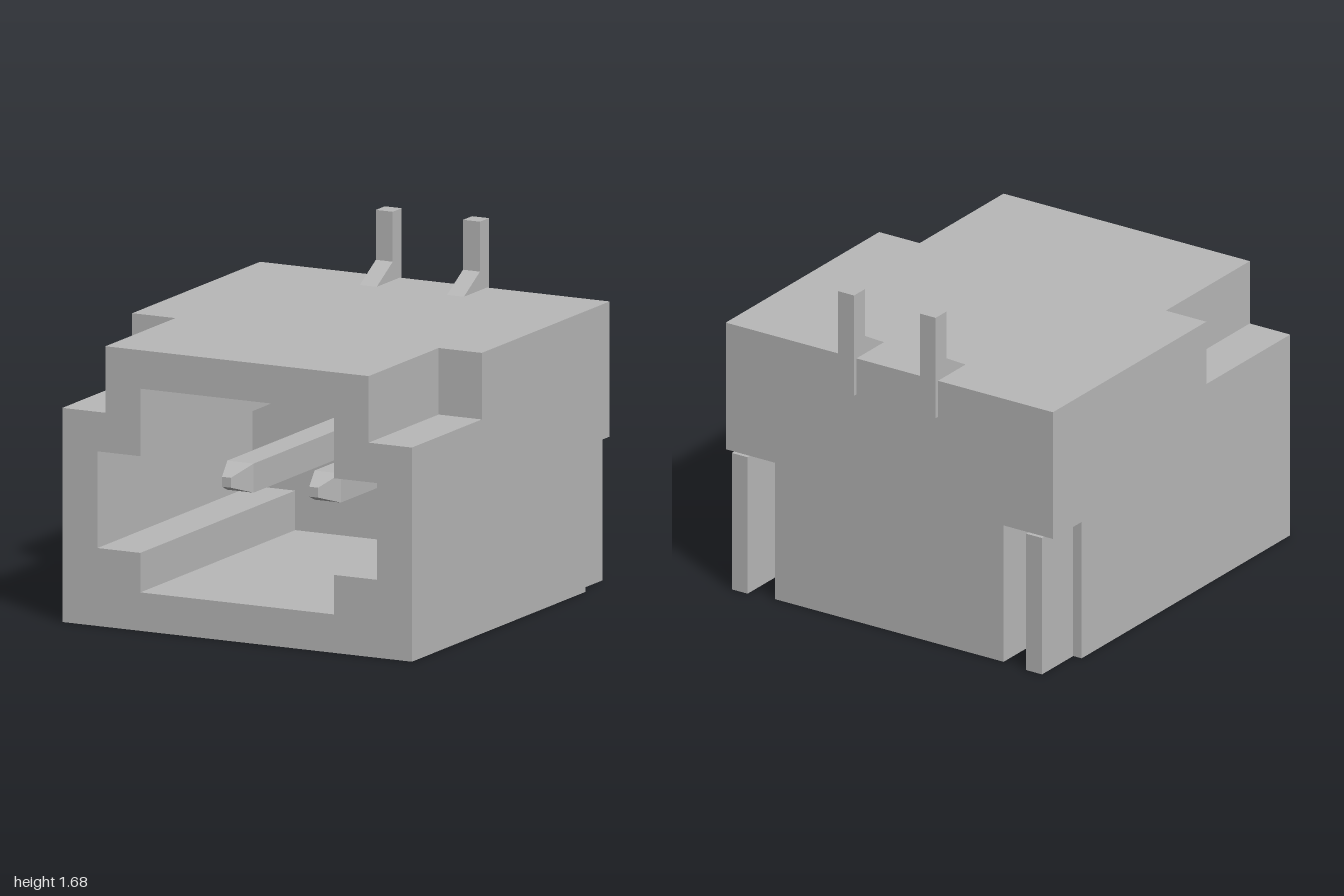
import * as THREE from 'three';

const grey = new THREE.MeshStandardMaterial({ color: 0xb8b8b8 });
grey.name = 'plain grey';
grey.flatShading = true;

// Points for the right half of an outline (bottom to top), mirrored to a closed loop
const mirrored = (half) => [...half, ...half.map(([x, y]) => [-x, y]).reverse()]
  .map(([x, y]) => new THREE.Vector2(x, y));

// Straight extrusion of a cross-section between two z positions
function slab(name, half, z0, z1, holeHalf) {
  const shape = new THREE.Shape(mirrored(half));
  if (holeHalf) shape.holes.push(new THREE.Path(mirrored(holeHalf)));
  const geo = new THREE.ExtrudeGeometry(shape, { depth: z1 - z0, bevelEnabled: false });
  geo.translate(0, 0, z0);
  const mesh = new THREE.Mesh(geo, grey);
  mesh.name = name;
  return mesh;
}

function box(name, x0, x1, y0, y1, z0, z1) {
  const mesh = new THREE.Mesh(new THREE.BoxGeometry(x1 - x0, y1 - y0, z1 - z0), grey);
  mesh.position.set((x0 + x1) / 2, (y0 + y1) / 2, (z0 + z1) / 2);
  mesh.name = name;
  return mesh;
}

// Square bar or frustum along z; front and back are half widths
function squareBar(name, front, back, z0, z1) {
  const geo = new THREE.CylinderGeometry(front * Math.SQRT2, back * Math.SQRT2, z1 - z0, 4);
  geo.rotateY(Math.PI / 4);
  geo.rotateX(Math.PI / 2);
  const mesh = new THREE.Mesh(geo, grey);
  mesh.position.z = (z0 + z1) / 2;
  mesh.name = name;
  return mesh;
}

export function createModel() {
  const model = new THREE.Group();
  model.name = 'pinHeader';

  // Housing: stepped front, hollow middle, solid back wall, rear with corner slots
  const W = 0.93, H = 1.35, cavityEnd = -0.55;
  const full = [[W, 0], [W, H]];
  const stepped = [[W, 0], [W, 1.03], [0.7, 1.03], [0.7, H]];
  const slotted = [[0.65, 0], [0.65, 0.7], [W, 0.7], [W, H]];
  const cavity = [[0.515, 0.185], [0.515, 0.375], [0.743, 0.375],
    [0.743, 0.84], [0.515, 0.84], [0.515, 1.165]];
  const housing = new THREE.Group();
  housing.name = 'housing';
  housing.add(
    slab('housingFront', stepped, 0.3, 1, cavity),
    slab('housingMiddle', full, cavityEnd, 0.3, cavity),
    slab('housingBackWall', full, -0.74, cavityEnd),
    slab('housingRear', slotted, -0.98, -0.74),
  );
  model.add(housing);

  // Solder lead profile in the z-y plane, with a sloped foot at the top of the housing
  const lead = new THREE.Shape([[-1, 1.165], [-0.91, 1.165], [-0.75, 1.35], [-0.91, 1.44],
    [-0.91, 1.68], [-1, 1.68]].map(([z, y]) => new THREE.Vector2(-z, y)));

  for (const [side, s] of [['left', 1], ['right', -1]]) {
    // Contact pin with tapered tip inside the cavity
    const pin = new THREE.Group();
    pin.name = side + 'ContactPin';
    pin.position.set(s * 0.232, 0.68, 0);
    pin.add(squareBar('pinShaft', 0.07, 0.07, -0.6, 0.53), squareBar('pinTip', 0.024, 0.07, 0.53, 0.67));
    model.add(pin);

    // Upright solder lead at the back
    const geo = new THREE.ExtrudeGeometry(lead, { depth: 0.09, bevelEnabled: false });
    geo.translate(0, 0, -0.045);
    geo.rotateY(Math.PI / 2);
    const leadMesh = new THREE.Mesh(geo, grey);
    leadMesh.position.x = s * 0.232;
    leadMesh.name = side + 'SolderLead';
    model.add(leadMesh);

    // Mounting tab standing in the rear corner slot
    const x = s * 0.837;
    model.add(box(side + 'MountingTab', x - 0.045, x + 0.045, 0, 0.7, -1, -0.73));
  }
  return model;
}
